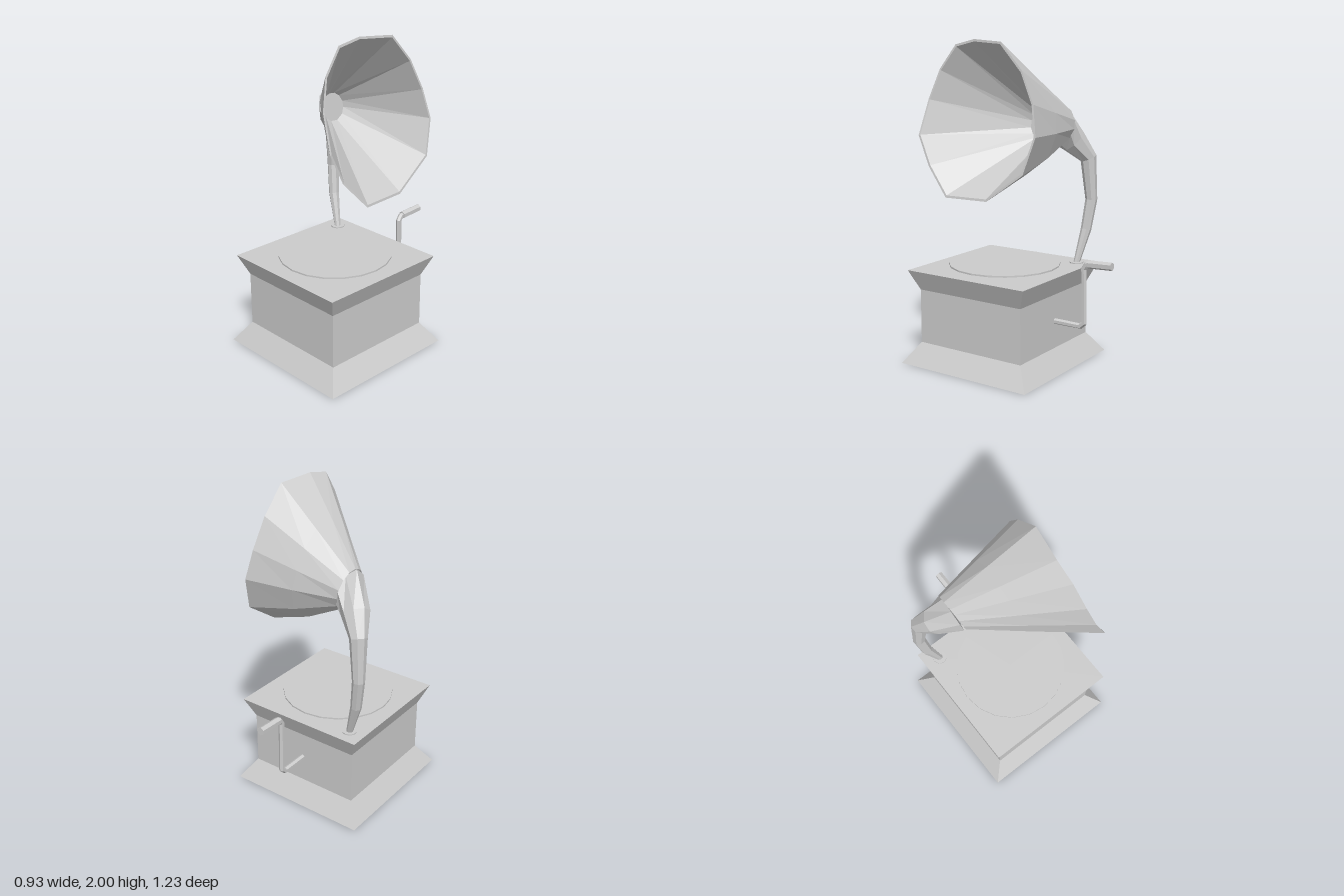
import * as THREE from 'three';

const V = (x, y, z) => new THREE.Vector3(x, y, z);
const grey = () => new THREE.MeshStandardMaterial({ color: 0xcccccc, flatShading: true, side: THREE.DoubleSide });

function part(name, geometry, parent) {
  const mesh = new THREE.Mesh(geometry, grey());
  mesh.name = name;
  parent.add(mesh);
  return mesh;
}

// Skin a list of equal-length rings; rings run counter-clockwise about the travel direction
function loft(rings) {
  const pos = [];
  const tri = (a, b, c) => pos.push(...a.toArray(), ...b.toArray(), ...c.toArray());
  for (let k = 0; k < rings.length - 1; k++) {
    const a = rings[k], b = rings[k + 1], n = a.length;
    for (let i = 0; i < n; i++) {
      const j = (i + 1) % n;
      tri(a[i], a[j], b[j]);
      if (b[i].distanceTo(b[j]) > 1e-6) tri(a[i], b[j], b[i]);
    }
  }
  const g = new THREE.BufferGeometry();
  g.setAttribute('position', new THREE.Float32BufferAttribute(pos, 3));
  g.computeVertexNormals();
  return g;
}

// Ring of n points around a centre, square to the given direction
function ring(centre, dir, radius, n, ref) {
  const d = dir.clone().normalize();
  const u = ref.clone().addScaledVector(d, -ref.dot(d)).normalize();
  const v = d.clone().cross(u);
  return Array.from({ length: n }, (_, i) => {
    const t = ((i + 0.5) / n) * Math.PI * 2;
    return centre.clone().addScaledVector(u, Math.cos(t) * radius).addScaledVector(v, Math.sin(t) * radius);
  });
}

// Faceted pipe through points with a radius at each, capped at both ends
function pipe(points, radii, n, ref, endDir) {
  const last = points.length - 1;
  const rings = points.map((p, i) => {
    const before = points[Math.max(i - 1, 0)], after = points[Math.min(i + 1, last)];
    const dir = V(0, 0, 0);
    if (i > 0) dir.add(p.clone().sub(before).normalize());
    if (i < last) dir.add(after.clone().sub(p).normalize());
    return ring(p, i === last && endDir ? endDir : dir, radii[i], n, ref);
  });
  const cap = (p) => Array.from({ length: n }, () => p.clone());
  return loft([cap(points[0]), ...rings, cap(points[last])]);
}

function disc(name, radius, height, sides, x, y, z, parent) {
  part(name, new THREE.CylinderGeometry(radius, radius, height, sides), parent).position.set(x, y, z);
}

export function createModel() {
  const model = new THREE.Group();
  model.name = 'hornRecordPlayer';

  // Square cabinet with flared plinth and lid
  const profile = [[0, 0], [0.465, 0], [0.375, 0.13], [0.375, 0.47], [0.43, 0.597], [0, 0.597]]
    .map(([h, y]) => new THREE.Vector2(h * Math.SQRT2, y));
  part('cabinet', new THREE.LatheGeometry(profile, 4, Math.PI / 4), model).position.z = 0.15;

  // Turntable on its spindle
  disc('turntable', 0.35, 0.01, 20, 0, 0.616, 0.15, model);
  disc('spindle', 0.011, 0.03, 8, 0, 0.602, 0.15, model);

  // Winding crank at the back
  const crank = new THREE.Group();
  crank.name = 'crank';
  model.add(crank);
  const crankPath = [V(0, 0.302, -0.2), V(0, 0.302, -0.405), V(0, 0.325, -0.432),
    V(0, 0.66, -0.425), V(0, 0.689, -0.445), V(0, 0.691, -0.47)];
  part('crankRod', pipe(crankPath, crankPath.map(() => 0.018), 6, V(1, 0, 0)), crank);
  part('crankHandle', pipe([V(0, 0.69, -0.455), V(0, 0.698, -0.615)], [0.025, 0.025], 6, V(1, 0, 0)), crank);

  // Curved arm that widens into the throat of the horn
  disc('armFoot', 0.045, 0.008, 10, -0.325, 0.6, -0.18, model);
  const armPath = [V(-0.325, 0.597, -0.18), V(-0.39, 0.81, -0.21), V(-0.417, 1, -0.23),
    V(-0.4, 1.265, -0.215), V(-0.33, 1.375, -0.145), V(-0.245, 1.48, -0.085)];
  part('arm', pipe(armPath, [0.02, 0.034, 0.038, 0.053, 0.085, 0.122], 8, V(-0.6, 0, 0.8), V(1, 0.19, 0.1)), model);

  // Horn: slightly irregular mouth, skewed back to a small round throat
  const rim = [[0.245, 2, 0.19], [0.235, 1.97, 0.335], [0.25, 1.825, 0.446], [0.29, 1.645, 0.504],
    [0.365, 1.43, 0.525], [0.375, 1.247, 0.44], [0.41, 1.077, 0.286], [0.393, 1.077, 0],
    [0.38, 1.247, -0.244], [0.345, 1.46, -0.308], [0.31, 1.64, -0.27], [0.29, 1.825, -0.18],
    [0.285, 1.985, -0.03]].map((p) => V(...p));
  const mouth = V(0.325, 1.535, 0.11);
  const throat = (c, r) => rim.map((p) => {
    const a = Math.atan2(p.z - mouth.z, p.y - mouth.y);
    const dy = Math.cos(a) * r;
    return V(c.x - 0.19 * dy, c.y + dy, c.z + Math.sin(a) * r);
  });
  const outerThroat = throat(V(-0.245, 1.48, -0.085), 0.122);
  // The underside bulges a little halfway along
  const middle = outerThroat.map((p, i) => {
    const q = p.clone().lerp(rim[i], 0.48);
    q.y -= 0.025 * Math.max(0, (mouth.y - rim[i].y) / 0.46);
    return q;
  });
  const lip = rim.map((p) => p.clone().lerp(mouth, 0.03));
  const innerCentre = V(-0.18, 1.48, -0.01);
  part('horn', loft([outerThroat, middle, rim, lip, throat(innerCentre, 0.085), rim.map(() => innerCentre.clone())]), model);

  return model;
}
